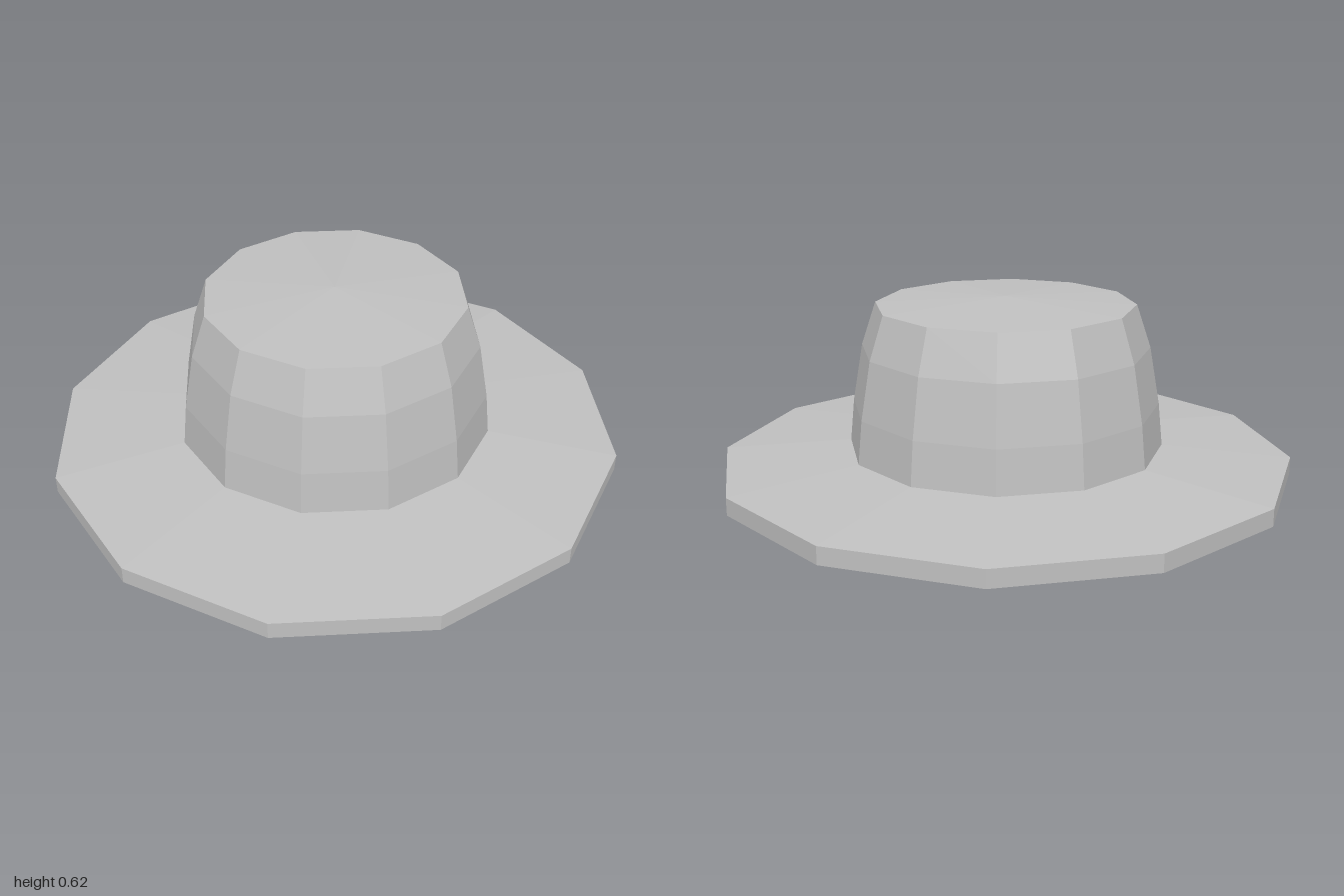
import * as THREE from 'three';

const SIDES = 12;

// Faceted solid of revolution from [radius, height] pairs, listed bottom to top
function facetedLathe(name, profile, material) {
  const points = profile.map(([r, y]) => new THREE.Vector2(r, y));
  const geometry = new THREE.LatheGeometry(points, SIDES).toNonIndexed();
  geometry.computeVertexNormals(); // unshared corners give flat facets
  const mesh = new THREE.Mesh(geometry, material);
  mesh.name = name;
  return mesh;
}

export function createModel() {
  const felt = new THREE.MeshStandardMaterial({ color: 0xc0c0c0 });
  felt.name = 'grey felt';

  const hat = new THREE.Group();
  hat.name = 'hat';

  // Wide brim: closed underside, upright rim, gentle slope up to the crown
  hat.add(facetedLathe('brim', [[0, 0], [1, 0], [1, 0.06], [0.55, 0.1]], felt));

  // Tapering crown with a slightly peaked top
  hat.add(facetedLathe('crown', [[0.55, 0.1], [0.535, 0.25], [0.5, 0.45], [0.45, 0.6], [0, 0.625]], felt));

  return hat;
}
